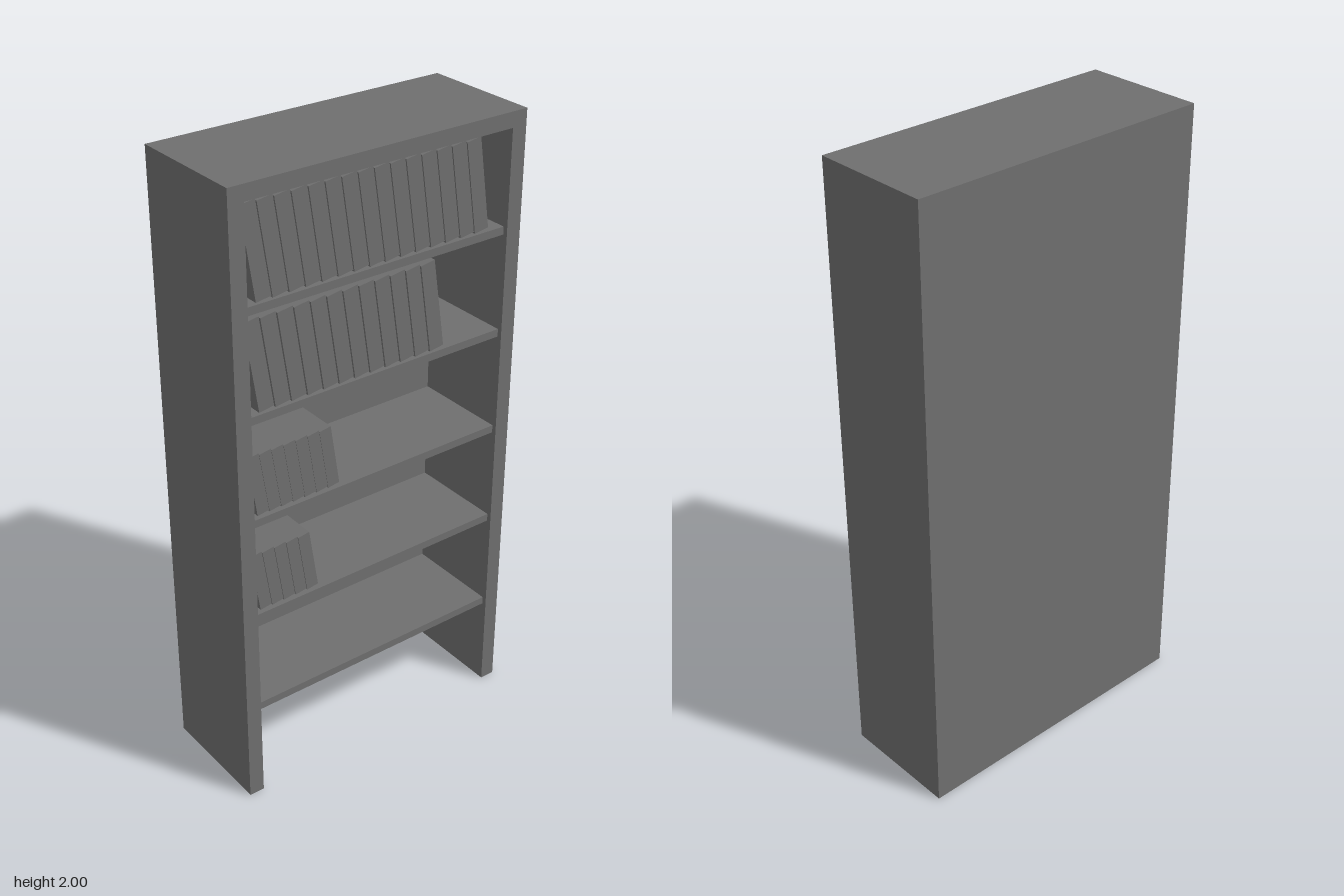
import * as THREE from 'three';

export function createModel() {
  const model = new THREE.Group();
  const material = new THREE.MeshStandardMaterial({ color: 0x6f6f6f, flatShading: true });

  // Box given by its lower and upper bounds
  function box(name, [x0, y0, z0], [x1, y1, z1]) {
    const mesh = new THREE.Mesh(new THREE.BoxGeometry(x1 - x0, y1 - y0, z1 - z0), material);
    mesh.name = name;
    mesh.position.set((x0 + x1) / 2, (y0 + y1) / 2, (z0 + z1) / 2);
    model.add(mesh);
  }

  const front = 0.195, inner = 0.45, backInner = -0.135;

  // Case: sides, top and back
  box('leftSide', [inner, 0, -front], [0.5, 2, front]);
  box('rightSide', [-0.5, 0, -front], [-inner, 2, front]);
  box('top', [-inner, 1.952, -front], [inner, 2, front]);
  box('back', [-inner, 0, -front], [inner, 1.952, backInner]);

  // Shelves, set slightly behind the front edge
  const shelfTops = [0.33, 0.66, 0.989, 1.322, 1.652];
  for (const y of shelfTops) box('shelf', [-inner, y - 0.025, backInner], [inner, y, 0.18]);

  // Rows of books leaning towards the right side of the case
  const lean = 0.15;
  function bookRow(name, { shelf, count, left, pitch, width, height, depth, z }) {
    const row = new THREE.Group();
    row.name = name;
    const geometry = new THREE.BoxGeometry(width, height, depth);
    geometry.translate(width / 2, height / 2, -depth / 2); // pivot on the lower left front corner
    for (let i = 0; i < count; i++) {
      const book = new THREE.Mesh(geometry, material);
      book.name = 'book';
      book.rotation.z = lean;
      book.position.set(left + height * Math.sin(lean) + i * pitch, shelfTops[shelf], z);
      row.add(book);
    }
    model.add(row);
  }

  const tall = { left: -0.45, width: 0.05, height: 0.285, depth: 0.2, z: 0.17 };
  const small = { left: -0.45, pitch: 0.042, width: 0.04, height: 0.2, depth: 0.145, z: 0.165 };
  bookRow('topRowBooks', { ...tall, shelf: 4, count: 15, pitch: 0.054 });
  bookRow('secondRowBooks', { ...tall, shelf: 3, count: 12, pitch: 0.0547 });
  bookRow('singleSmallBook', { ...small, shelf: 3, count: 1, left: 0.217, z: 0.105 });
  bookRow('thirdRowBooks', { ...small, shelf: 2, count: 7, pitch: 0.0413 });
  bookRow('fourthRowBooks', { ...small, shelf: 1, count: 5 });

  return model;
}
